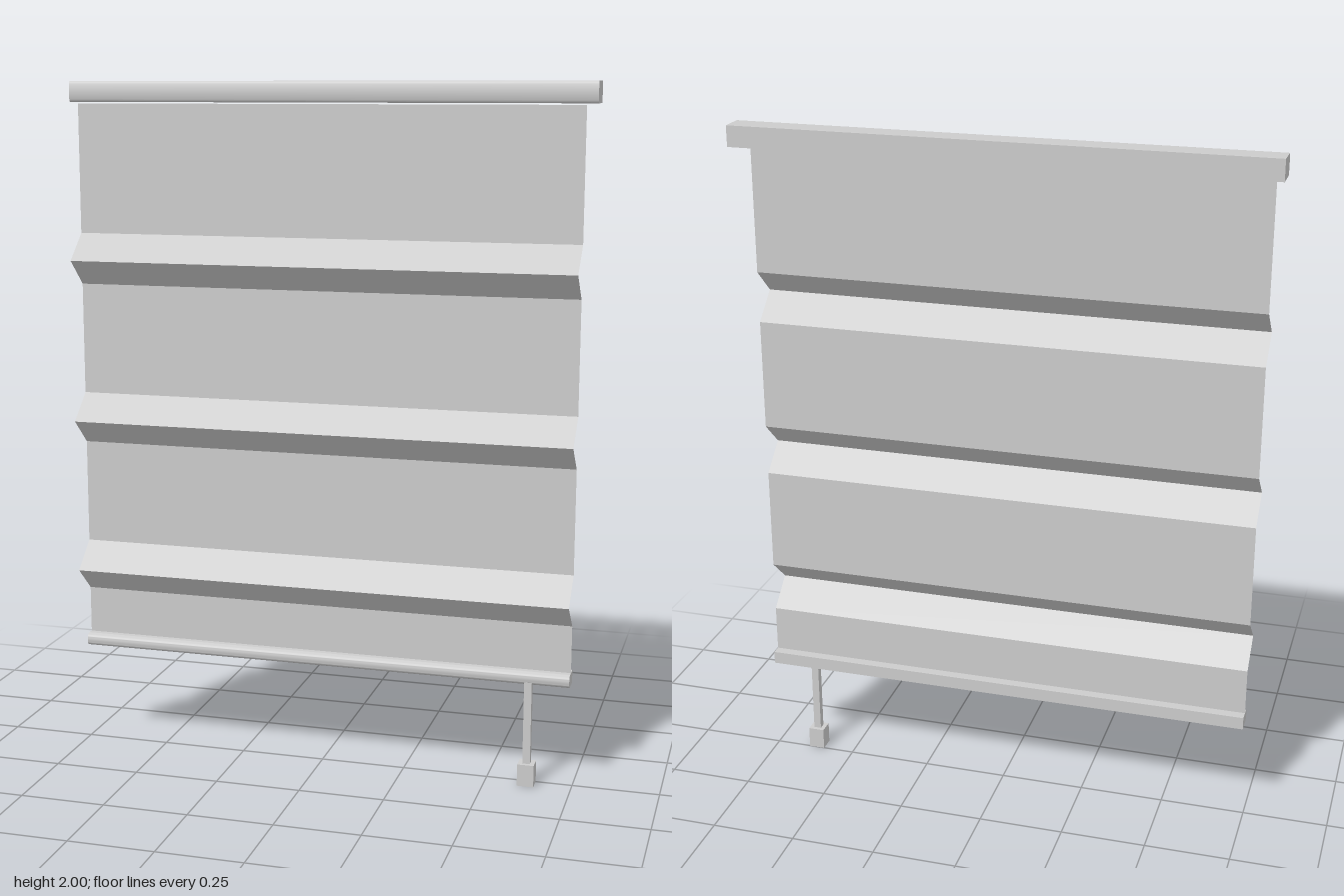
import * as THREE from 'three';
import { toCreasedNormals } from 'three/addons/utils/BufferGeometryUtils.js';

const frameGrey = new THREE.MeshStandardMaterial({ color: 0xcccccc });
frameGrey.name = 'frame grey';
const fabricGrey = new THREE.MeshStandardMaterial({ color: 0xcccccc, side: THREE.DoubleSide });
fabricGrey.name = 'fabric grey';

function addMesh(parent, name, geometry, material) {
  const mesh = new THREE.Mesh(geometry, material);
  mesh.name = name;
  parent.add(mesh);
  return mesh;
}

// Bar running along x, square at the back and rounded by r at the front
function railGeometry(halfWidth, y0, y1, zBack, zFront, r) {
  const s = new THREE.Shape();
  s.moveTo(-zBack, y0);
  s.lineTo(-zBack, y1);
  s.lineTo(-zFront + r, y1);
  s.absarc(-zFront + r, y1 - r, r, Math.PI / 2, Math.PI, false);
  s.lineTo(-zFront, y0 + r);
  s.absarc(-zFront + r, y0 + r, r, Math.PI, Math.PI * 1.5, false);
  s.closePath();
  const g = new THREE.ExtrudeGeometry(s, { depth: halfWidth * 2, bevelEnabled: false, curveSegments: 8 });
  g.translate(0, 0, -halfWidth);
  g.rotateY(Math.PI / 2);
  return toCreasedNormals(g, 0.6);
}

// Thin sheet swept along x from a [y, z] profile, with crisp folds
function sheetGeometry(halfWidth, profile) {
  const pos = [];
  for (let i = 0; i < profile.length - 1; i++) {
    const [ya, za] = profile[i];
    const [yb, zb] = profile[i + 1];
    const a = [-halfWidth, ya, za], b = [halfWidth, ya, za];
    const c = [halfWidth, yb, zb], d = [-halfWidth, yb, zb];
    pos.push(...a, ...d, ...c, ...a, ...c, ...b);
  }
  const g = new THREE.BufferGeometry();
  g.setAttribute('position', new THREE.Float32BufferAttribute(pos, 3));
  g.computeVertexNormals();
  return g;
}

export function createModel() {
  const model = new THREE.Group();
  model.name = 'romanBlind';

  addMesh(model, 'headRail', railGeometry(0.768, 1.94, 2, -0.086, -0.005, 0.008), frameGrey);
  addMesh(model, 'bottomRail', railGeometry(0.738, 0.302, 0.34, -0.028, 0.034, 0.015), frameGrey);

  // Fabric with three forward folds
  const zSheet = 0.002, zFold = 0.085;
  const profile = [[1.936, zSheet]];
  for (const y of [1.486, 1.01, 0.554]) {
    profile.push([y + 0.075, zSheet], [y, zFold], [y - 0.075, zSheet]);
  }
  profile.push([0.325, zSheet]);
  addMesh(model, 'fabric', sheetGeometry(0.738, profile), fabricGrey);

  // Pull cord and its handle
  const pull = new THREE.Group();
  pull.name = 'pullCord';
  pull.position.set(0.62, 0, 0.022);
  addMesh(pull, 'cord', new THREE.BoxGeometry(0.022, 0.25, 0.022), frameGrey).position.y = 0.185;
  addMesh(pull, 'handle', new THREE.BoxGeometry(0.048, 0.065, 0.046), frameGrey).position.y = 0.0325;
  model.add(pull);

  return model;
}
